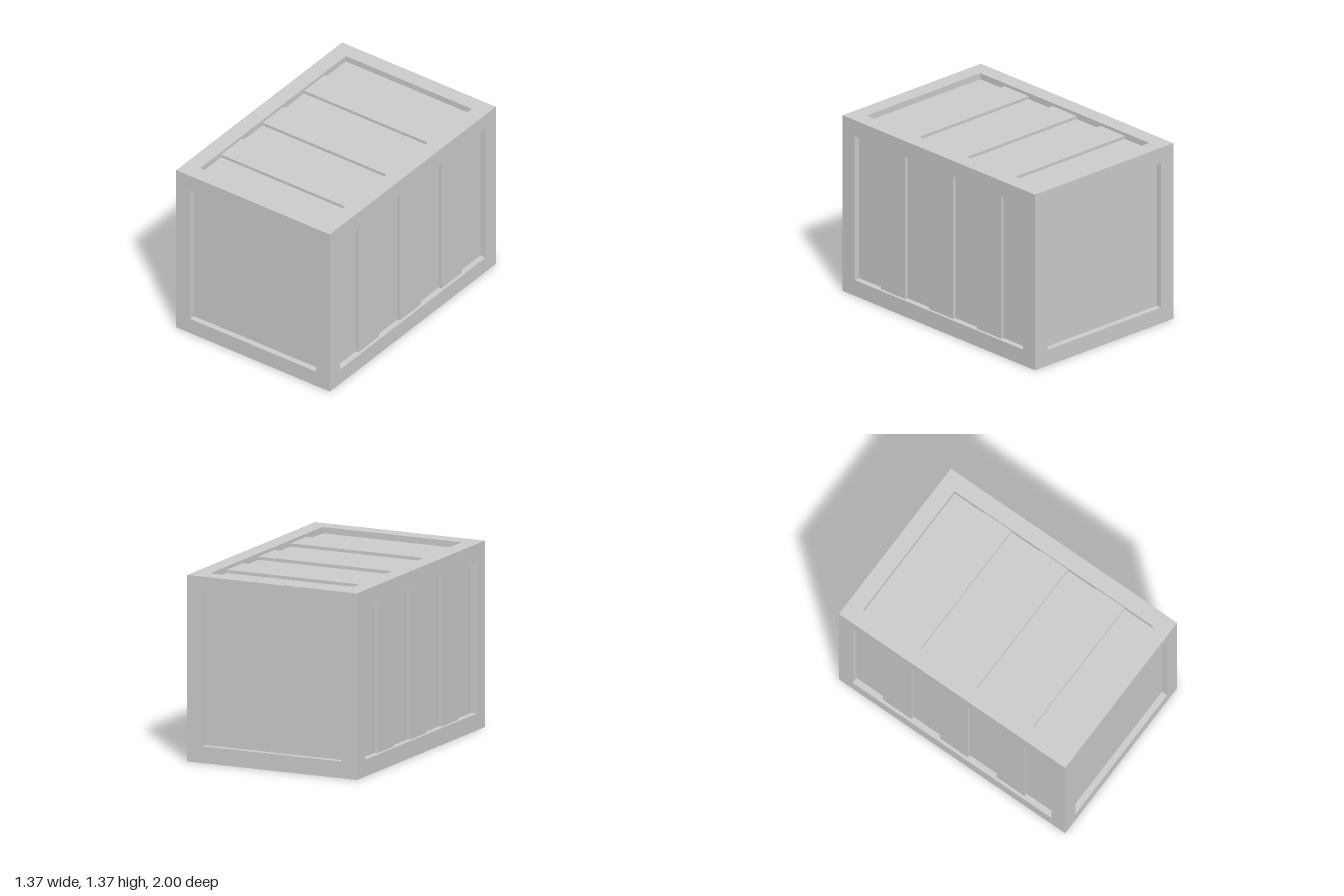
import * as THREE from 'three';

const W = 1.366;      // width and height
const L = 2;          // length
const F = 0.123;      // frame bar thickness
const RECESS = 0.046; // depth of the panels behind the frame
const RIB = 0.023;    // how far the ribs stand out of the panels

const material = new THREE.MeshStandardMaterial({ color: 0xcccccc, flatShading: true });

function add(parent, name, geometry, x = 0, y = 0, z = 0) {
  const mesh = new THREE.Mesh(geometry, material);
  mesh.name = name;
  mesh.position.set(x, y, z);
  parent.add(mesh);
  return mesh;
}

function square(Type, half) {
  return new Type([[-half, -half], [half, -half], [half, half], [-half, half]]
    .map(([x, y]) => new THREE.Vector2(x, y)));
}

export function createModel() {
  const model = new THREE.Group();
  model.name = 'container';
  const body = new THREE.Group();
  body.name = 'containerBody';
  body.position.y = W / 2;
  model.add(body);

  // recessed wall panels
  const inner = W - 2 * RECESS;
  add(body, 'panels', new THREE.BoxGeometry(inner, inner, L - 2 * RECESS));

  // square end frames
  const ring = square(THREE.Shape, W / 2);
  ring.holes.push(square(THREE.Path, W / 2 - F));
  const ringGeometry = new THREE.ExtrudeGeometry(ring, { depth: F, bevelEnabled: false });
  add(body, 'frontFrame', ringGeometry, 0, 0, L / 2 - F);
  add(body, 'backFrame', ringGeometry, 0, 0, -L / 2);

  // long rails joining the end frames
  const railGeometry = new THREE.BoxGeometry(F, F, L - 2 * F);
  const r = (W - F) / 2;
  for (const sx of [-1, 1]) {
    for (const sy of [-1, 1]) {
      add(body, `${sy > 0 ? 'top' : 'bottom'}${sx > 0 ? 'Left' : 'Right'}Rail`, railGeometry, sx * r, sy * r, 0);
    }
  }

  // three raised ribs on each of the four long sides
  const ribGeometry = new THREE.BoxGeometry(W - 2 * F, RIB, 0.25);
  ['top', 'right', 'bottom', 'left'].forEach((side, i) => {
    const group = new THREE.Group();
    group.name = `${side}Ribs`;
    group.rotation.z = i * Math.PI / 2;
    for (const z of [-0.5, 0, 0.5]) add(group, 'rib', ribGeometry, 0, inner / 2 + RIB / 2, z);
    body.add(group);
  });

  return model;
}
